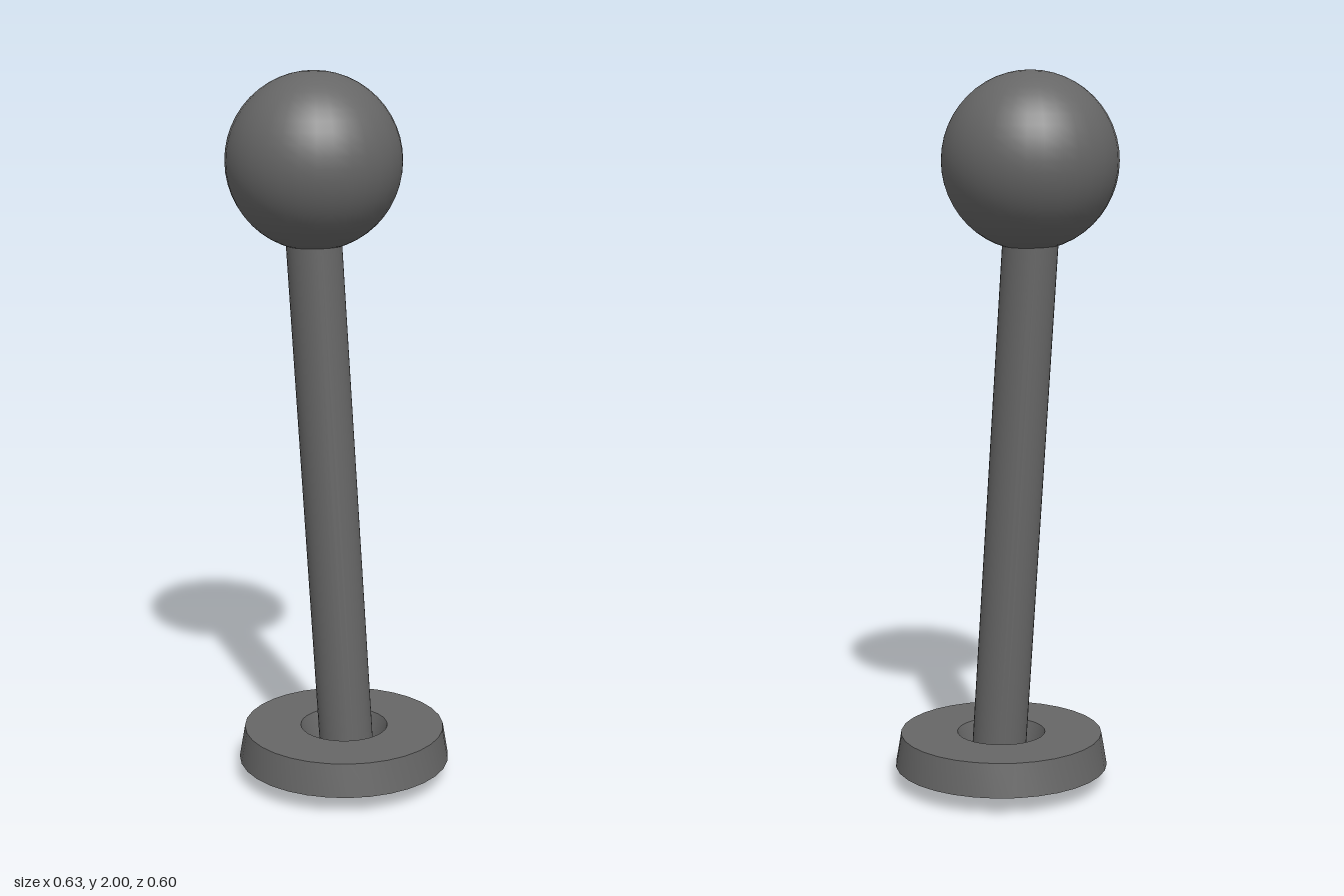
import * as THREE from 'three';
import { toCreasedNormals } from 'three/addons/utils/BufferGeometryUtils.js';

export function createModel() {
  const group = new THREE.Group();
  const darkMetal = new THREE.MeshStandardMaterial({ color: 0x666666 });
  darkMetal.name = 'darkMetal';

  const add = (name, geometry, x = 0, y = 0, z = 0) => {
    const mesh = new THREE.Mesh(geometry, darkMetal);
    mesh.name = name;
    mesh.position.set(x, y, z);
    group.add(mesh);
  };

  // Tapered base disc with a round socket sunk into its top
  const profile = [
    [0, 0.04], [0.15, 0.042], [0.302, 0.052], [0.286, 0.145],
    [0.125, 0.145], [0.1, 0.07], [0, 0.07],
  ].map(([r, y]) => new THREE.Vector2(r, y));
  add('base', toCreasedNormals(new THREE.LatheGeometry(profile, 32), 0.6), 0.015);

  // Leaning rod: sheared along its height, with a slanted lower end
  const rod = new THREE.CylinderGeometry(0.078, 0.078, 1, 32);
  const p = rod.attributes.position;
  for (let i = 0; i < p.count; i++) {
    const x = p.getX(i);
    const y = p.getY(i) < 0 ? 0.02 - 0.25 * x : 1.6;
    p.setXYZ(i, x + 0.028 - 0.066 * y, y, p.getZ(i) * 0.915);
  }
  add('rod', toCreasedNormals(rod, 0.6));

  // Ball knob
  add('knob', new THREE.SphereGeometry(0.242, 32, 24), -0.075, 1.758, -0.006);

  return group;
}
